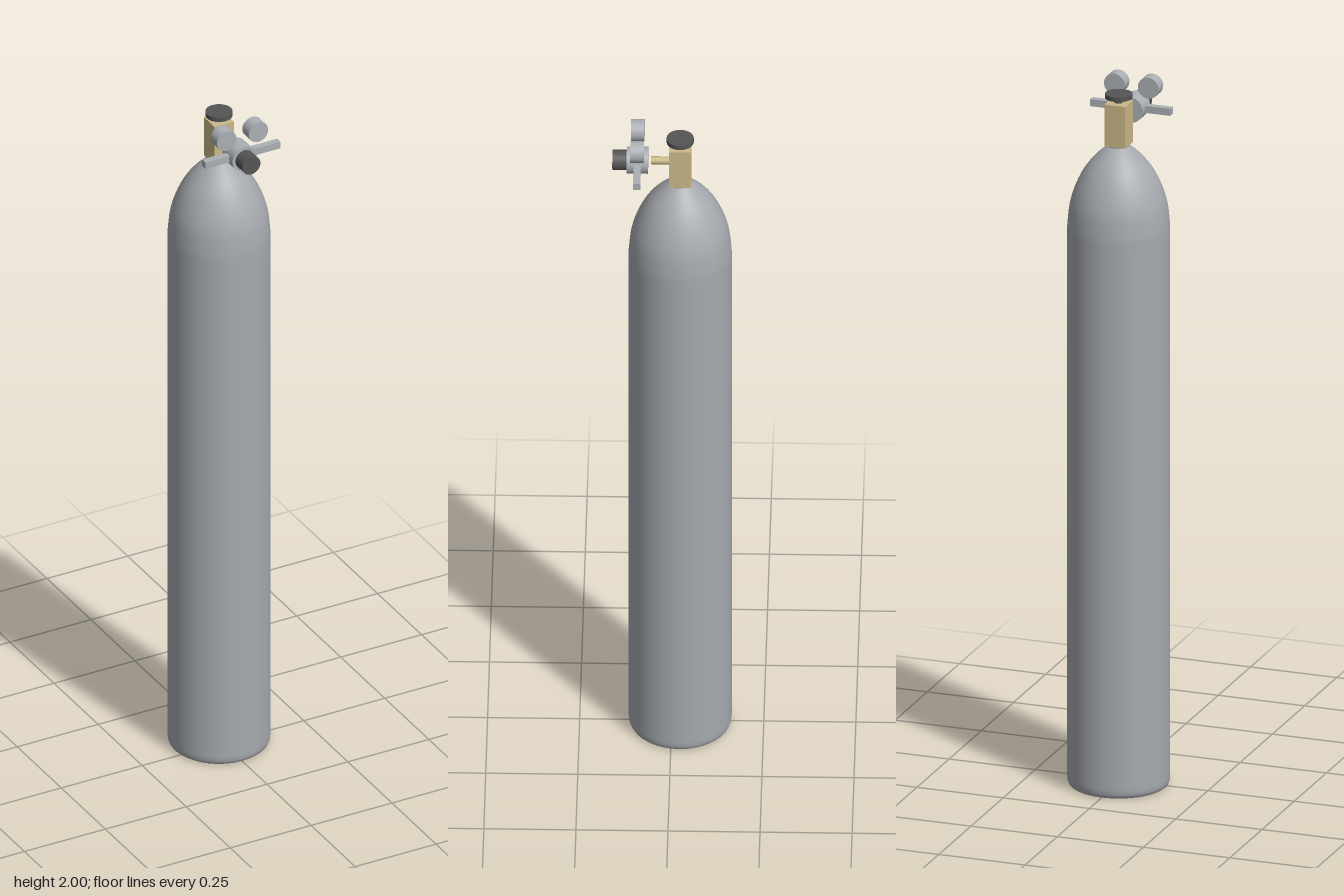
import * as THREE from 'three';

const material = (name, color) => new THREE.MeshStandardMaterial({ name, color });

export function createModel() {
  const group = new THREE.Group();
  group.name = 'gasCylinder';
  const steel = material('tank grey', 0xa6aaaf);
  const metal = material('regulator grey', 0xabb0b5);
  const brass = material('brass', 0xcbb988);
  const dark = material('dark plastic', 0x555555);

  const axisZ = -0.023; // tank centre line
  const portY = 1.905; // height of the outlet and regulator
  const gaugeZ = 0.093;

  function add(name, geometry, mat, x, y, z, parent = group) {
    const mesh = new THREE.Mesh(geometry, mat);
    mesh.name = name;
    mesh.position.set(x, y, z);
    parent.add(mesh);
    return mesh;
  }
  // Cylinder lying along z
  const drum = (radius, length, sides = 32) =>
    new THREE.CylinderGeometry(radius, radius, length, sides).rotateX(Math.PI / 2);

  // Tank: rounded foot, straight wall, domed shoulder
  const foot = [[0.131, 0], [0.136, 0.004], [0.139, 0.012], [0.14, 0.022], [0.14, 0.03]];
  const profile = foot.map(([r, y]) => new THREE.Vector2(r, y));
  profile.push(new THREE.Vector2(0.14, 1.58));
  const shoulder = new THREE.SplineCurve(
    [[0.14, 1.6], [0.133, 1.665], [0.116, 1.72], [0.091, 1.768], [0.06, 1.806], [0.03, 1.832]]
      .map(([r, y]) => new THREE.Vector2(r, y)));
  profile.push(...shoulder.getPoints(20));
  add('tank', new THREE.LatheGeometry(profile, 64), steel, 0, 0, axisZ);
  add('tankBottom', new THREE.CircleGeometry(0.131, 64).rotateX(Math.PI / 2), steel, 0, 0, axisZ);
  add('neck', new THREE.CylinderGeometry(0.03, 0.03, 0.012, 32), steel, 0, 1.83, axisZ);

  // Valve with handwheel and outlet
  const valve = new THREE.Group();
  valve.name = 'valve';
  group.add(valve);
  add('valveBlock', new THREE.BoxGeometry(0.06, 0.12, 0.06), brass, 0, 1.895, axisZ, valve);
  add('valveStem', new THREE.CylinderGeometry(0.011, 0.011, 0.02, 20), dark, 0, 1.96, axisZ, valve);
  add('handwheel', new THREE.CylinderGeometry(0.037, 0.037, 0.013, 32), dark, 0, 1.975, axisZ, valve);
  add('outlet', drum(0.011, 0.052, 20), brass, 0, portY, 0.03, valve);

  // Regulator with adjusting knob and side ports
  const regulator = new THREE.Group();
  regulator.name = 'regulator';
  group.add(regulator);
  add('regulatorBody', drum(0.037, 0.058), metal, 0, portY, 0.093, regulator);
  add('adjustingKnob', drum(0.028, 0.04), dark, 0, portY, 0.141, regulator);
  add('sidePorts', new THREE.BoxGeometry(0.232, 0.02, 0.02), metal, 0.006, portY, gaugeZ, regulator);

  // Pair of gauges above the body
  for (const side of [-1, 1]) {
    add(side > 0 ? 'leftGauge' : 'rightGauge', drum(0.03, 0.037), metal,
      side * 0.049, 1.97, gaugeZ, regulator);
  }
  return group;
}
